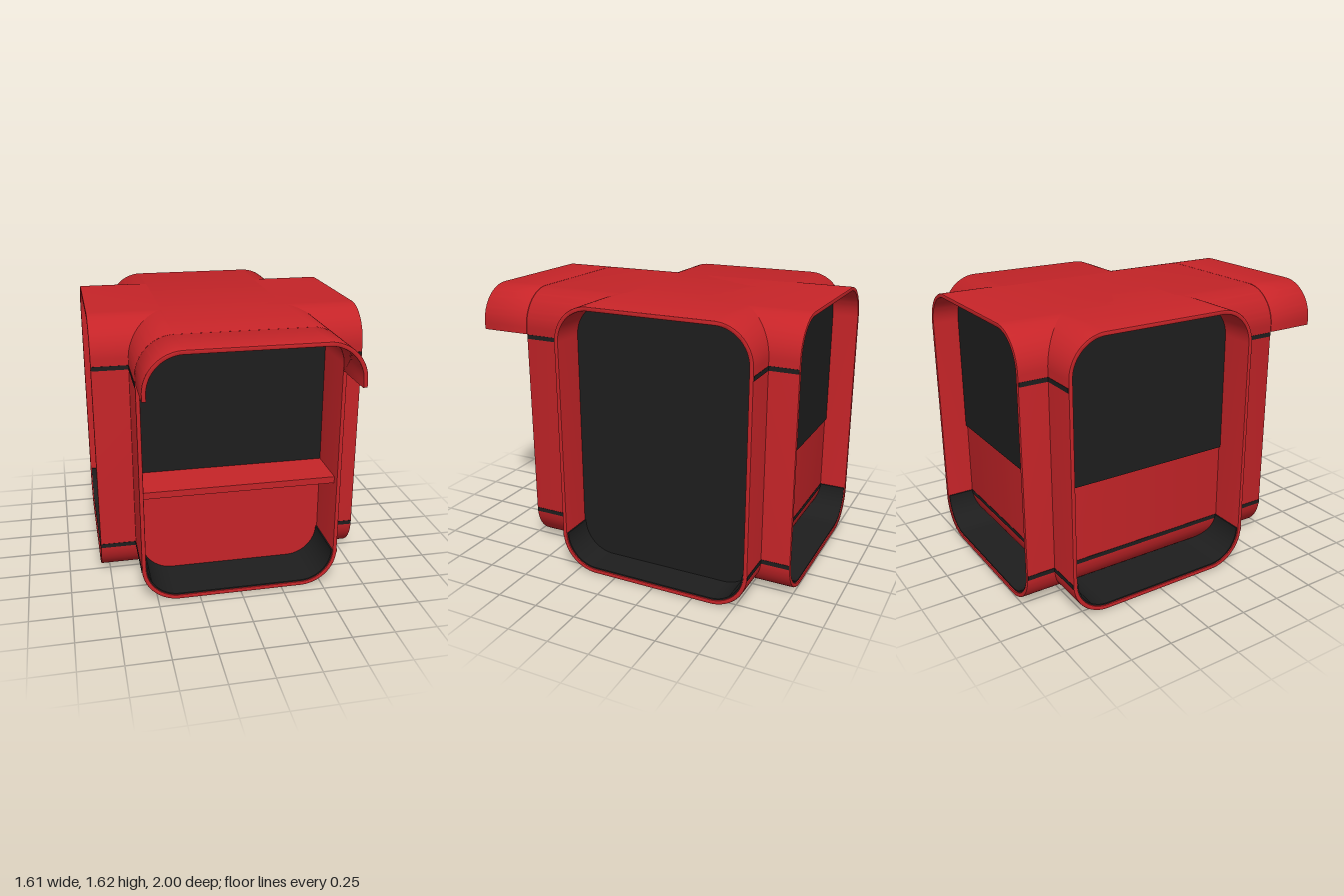
import * as THREE from 'three';
import { toCreasedNormals } from 'three/addons/utils/BufferGeometryUtils.js';

const red = new THREE.MeshStandardMaterial({ color: 0xc62428 });
const dark = new THREE.MeshStandardMaterial({ color: 0x1e1e1e });

const H = 1.615;   // height
const W = 0.59;    // half width of each tube
const R = 0.22;    // outer corner radius
const T = 0.025;   // wall thickness
const PI = Math.PI;

// Rounded rectangle with separate radii for bottom and top corners
function roundedRect(w, y0, y1, rb, rt, Type = THREE.Shape) {
  const s = new Type();
  s.moveTo(-w + rb, y0);
  s.lineTo(w - rb, y0);
  if (rb) s.absarc(w - rb, y0 + rb, rb, -PI / 2, 0);
  else s.lineTo(w, y0);
  s.lineTo(w, y1 - rt);
  if (rt) s.absarc(w - rt, y1 - rt, rt, 0, PI / 2);
  else s.lineTo(w, y1);
  s.lineTo(-w + rt, y1);
  if (rt) s.absarc(-w + rt, y1 - rt, rt, PI / 2, PI);
  s.lineTo(-w, y0 + rb);
  if (rb) s.absarc(-w + rb, y0 + rb, rb, PI, 1.5 * PI);
  return s;
}

// Open arch of constant thickness, legs down to y0
function arch(w, y0, y1, r, t) {
  const s = new THREE.Shape();
  s.moveTo(w, y0);
  s.lineTo(w, y1 - r);
  s.absarc(w - r, y1 - r, r, 0, PI / 2);
  s.absarc(-w + r, y1 - r, r, PI / 2, PI);
  s.lineTo(-w, y0);
  s.lineTo(-w + t, y0);
  s.absarc(-w + r, y1 - r, r - t, PI, PI / 2, true);
  s.absarc(w - r, y1 - r, r - t, PI / 2, 0, true);
  s.lineTo(w - t, y0);
  return s;
}

// Extrude a shape between z0 and z1, with an optional fine bevel
function extrude(shape, z0, z1, bevel = 0) {
  const geo = new THREE.ExtrudeGeometry(shape, {
    depth: z1 - z0 - 2 * bevel, curveSegments: 14, bevelEnabled: bevel > 0,
    bevelSize: bevel, bevelThickness: bevel, bevelOffset: -bevel, bevelSegments: 2,
  });
  geo.translate(0, 0, z0 + bevel);
  return toCreasedNormals(geo, 0.5);
}

function add(parent, name, geo, mat) {
  const mesh = new THREE.Mesh(geo, mat);
  mesh.name = name;
  parent.add(mesh);
  return mesh;
}

// Rounded tube with dark floor lining and dark seam bands on its walls
function makeTube(name, z0, z1) {
  const tube = new THREE.Group();
  tube.name = name;
  const shell = roundedRect(W, 0, H, R, R);
  shell.holes.push(roundedRect(W - T, T, H - T, R - T, R - T, THREE.Path));
  add(tube, 'shell', extrude(shell, z0, z1, 0.006), red);

  const lining = extrude(arch(W - 0.02, -0.222, -0.02, R - 0.02, 0.013), z0 + 0.008, z1 - 0.008);
  add(tube, 'floorLining', lining.rotateZ(PI), dark);

  for (const side of [-1, 1]) {
    for (const y of [0.212, 1.343]) {
      const band = add(tube, 'seamBand', new THREE.BoxGeometry(0.012, 0.025, z1 - z0 - 0.008), dark);
      band.position.set(side * (W - 0.004), y, (z0 + z1) / 2);
    }
  }
  return tube;
}

// Panel filling the tube's inner section between two heights
function addPanel(tube, name, mat, y0, y1, z0, z1) {
  const rb = y0 < R ? R - T : 0;
  const rt = y1 > H - R ? R - T : 0;
  add(tube, name, extrude(roundedRect(W - T, y0, y1, rb, rt), z0, z1), mat);
}

export function createModel() {
  const model = new THREE.Group();
  model.name = 'kiosk';
  const sill = 0.69, top = H - T;

  // Tube running front to back
  const main = makeTube('mainTube', -1, 0.69);
  addPanel(main, 'frontWindow', dark, sill, top, 0.34, 0.37);
  addPanel(main, 'frontLowerPanel', red, T, sill, 0.34, 0.37);
  addPanel(main, 'backWindow', dark, sill, top, -0.84, -0.81);
  model.add(main);

  // Tube running side to side
  const cross = makeTube('crossTube', -0.805, 0.805);
  addPanel(cross, 'door', dark, T, top, 0.57, 0.602);
  addPanel(cross, 'sideWindow', dark, sill, top, -0.602, -0.57);
  cross.rotation.y = PI / 2;
  cross.position.z = -0.24;
  model.add(cross);

  // Awning over the front
  add(model, 'awning', extrude(arch(W, 1.357, H, R, T), 0.69, 1, 0.006), red);

  // Serving counter
  const counter = add(model, 'counter', new THREE.BoxGeometry(2 * (W - T), 0.04, 0.29), red);
  counter.position.set(0, sill - 0.02, 0.5);

  return model;
}
